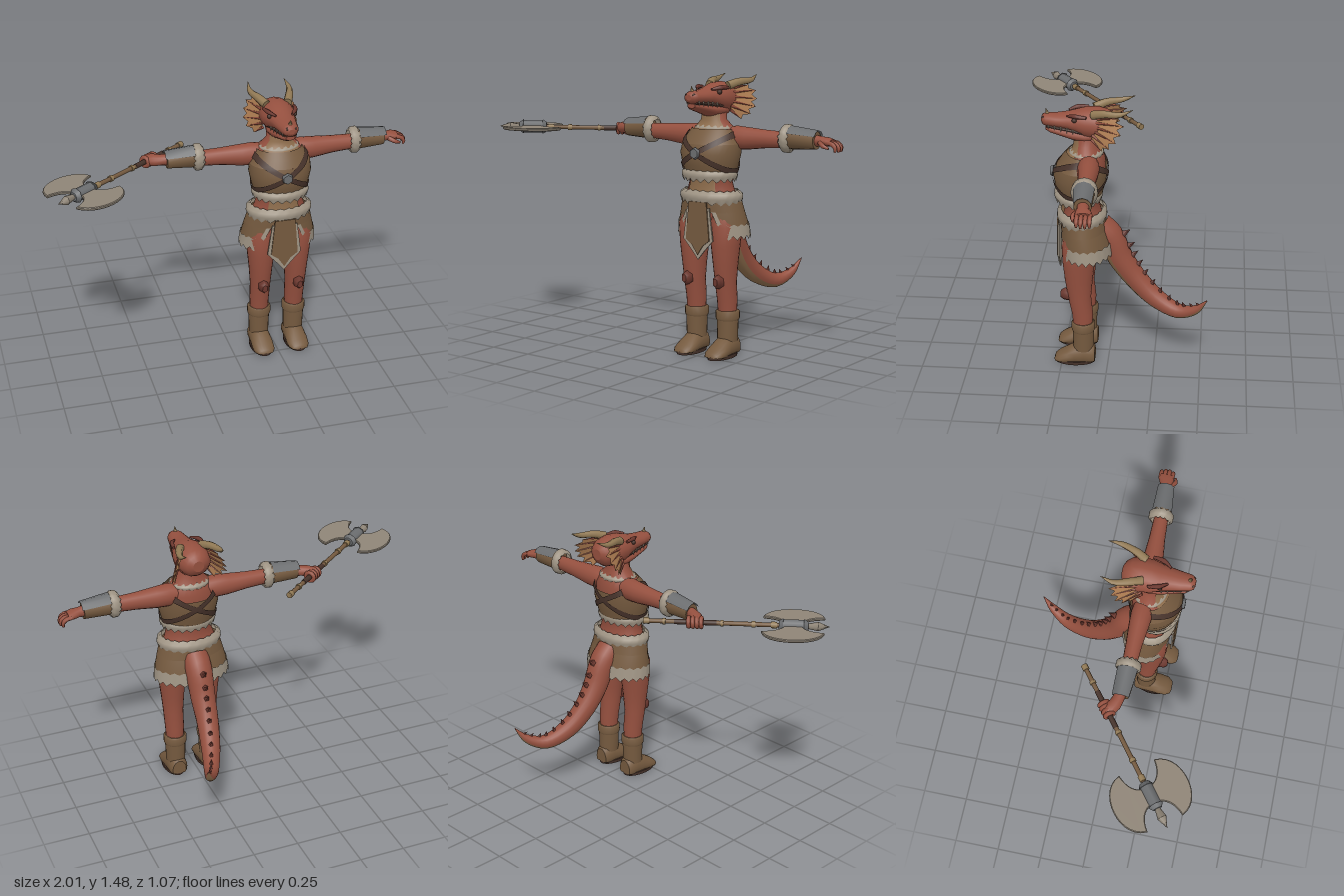
import * as THREE from 'three';

const V = (x, y, z) => new THREE.Vector3(x, y, z);
const X = V(1, 0, 0), Y = V(0, 1, 0), Z = V(0, 0, 1), TAU = Math.PI * 2;
const mat = (name, color, side = THREE.FrontSide) => {
  const m = new THREE.MeshStandardMaterial({ color, side });
  m.name = name;
  return m;
};

export function createModel() {
  const D = THREE.DoubleSide;
  const skin = mat('redScales', 0x95503f), darkSkin = mat('darkRedScales', 0x6c382f);
  const leather = mat('brownLeather', 0x755a3f, D), fur = mat('paleFur', 0x9f9484, D);
  const strap = mat('darkLeather', 0x46322a, D), belly = mat('tanBelly', 0x8e6d4c, D);
  const horn = mat('horn', 0x927a55), web = mat('frillMembrane', 0xae7d52, D);
  const metal = mat('greyMetal', 0x6c6e70, D), blade = mat('axeSteel', 0x8f8577, D);

  const root = new THREE.Group();
  root.name = 'lizardWarrior';
  const body = new THREE.Group();
  body.name = 'body';
  body.position.x = 0.267;
  root.add(body);

  const add = (parent, name, geo, m) => {
    const mesh = new THREE.Mesh(geo, m);
    mesh.name = name;
    parent.add(mesh);
    return mesh;
  };
  // Surface through rows of points, with optional end caps
  function grid(rows, closed, caps) {
    const p = [], idx = [], n = rows[0].length;
    rows.forEach(r => r.forEach(q => p.push(q.x, q.y, q.z)));
    for (let i = 0; i < rows.length - 1; i++) for (let j = 0; j < (closed ? n : n - 1); j++) {
      const k = (j + 1) % n, a = i * n + j, b = i * n + k;
      idx.push(a, b, b + n, a, b + n, a + n);
    }
    if (caps) [rows[0], rows[rows.length - 1]].forEach((r, e) => {
      const c = r.reduce((s, q) => s.add(q), V(0, 0, 0)).divideScalar(n), o = p.length / 3;
      p.push(c.x, c.y, c.z);
      r.forEach(q => p.push(q.x, q.y, q.z));
      for (let j = 0; j < n; j++) {
        const a = o + 1 + j, b = o + 1 + (j + 1) % n;
        idx.push(o, e ? a : b, e ? b : a);
      }
    });
    const g = new THREE.BufferGeometry();
    g.setAttribute('position', new THREE.Float32BufferAttribute(p, 3));
    g.setIndex(idx);
    g.computeVertexNormals();
    return g;
  }
  function ringPoints(c, t, v, ru, rv, a0, a1, n, jag = 0) {
    const u = t.clone().cross(v), full = a1 - a0 > TAU - 1e-4, out = [];
    for (let j = 0; j < (full ? n : n + 1); j++) {
      const a = a0 + (a1 - a0) * j / n;
      out.push(c.clone().addScaledVector(u, ru * Math.sin(a)).addScaledVector(v, rv * Math.cos(a))
        .addScaledVector(t, j % 2 ? jag : 0));
    }
    return out;
  }
  // Rings: [x, y, z, side radius, front radius, start angle, end angle, jag]
  function loft(rings, { t = Y, v = Z, n = 20, caps = true } = {}) {
    const rows = rings.map(([x, y, z, ru, rv, a0 = 0, a1 = TAU, jag = 0]) =>
      ringPoints(V(x, y, z), t, v, ru, rv, a0, a1, n, jag));
    const closed = rings[0][6] === undefined;
    return grid(rows, closed || rings[0][6] - rings[0][5] > TAU - 1e-4, closed && caps);
  }
  // Tapered sweep along a smooth path
  const lerpList = (r, s) => {
    const f = s * (r.length - 1), i = Math.min(Math.floor(f), r.length - 2);
    return r[i] + (r[i + 1] - r[i]) * (f - i);
  };
  const frame = (curve, s, up) => {
    const c = curve.getPoint(s), t = curve.getTangent(s);
    return { c, t, v: up.clone().addScaledVector(t, -up.dot(t)).normalize() };
  };
  const path = pts => new THREE.CatmullRomCurve3(pts.map(p => V(...p)));
  function sweep(curve, radii, { n = 10, steps = 10, up = Y, a0 = 0, a1 = TAU } = {}) {
    const rows = [];
    for (let i = 0; i <= steps; i++) {
      const { c, t, v } = frame(curve, i / steps, up), r = lerpList(radii, i / steps);
      rows.push(ringPoints(c, t, v, r, r, a0, a1, n));
    }
    const full = a1 - a0 > TAU - 1e-4;
    return grid(rows, full, full);
  }
  function spike(parent, name, from, to, r, m, sides = 6) {
    const d = to.clone().sub(from), c = add(parent, name, new THREE.ConeGeometry(r, d.length(), sides), m);
    c.position.copy(from).addScaledVector(d, 0.5);
    c.quaternion.setFromUnitVectors(Y, d.normalize());
  }
  const pair = (name, fn) => [1, -1].forEach(s => {
    const g = new THREE.Group();
    g.name = (s > 0 ? 'left' : 'right') + name;
    g.scale.x = s;
    body.add(g);
    fn(g, s);
  });

  // Torso and clothing
  add(body, 'torso', loft([[0, .68, .13, .13, .09], [0, .8, .135, .165, .108], [0, .88, .145, .135, .1],
    [0, .93, .147, .122, .09], [0, .98, .15, .14, .11], [0, 1.08, .15, .16, .13], [0, 1.16, .13, .145, .112],
    [0, 1.21, .115, .11, .078], [0, 1.25, .118, .068, .062], [0, 1.31, .115, .062, .062]], { n: 28 }), skin);
  add(body, 'bellyPlate', loft([[0, .86, .145, .148, .111, -.65, .65], [0, .93, .147, .127, .095, -.65, .65],
    [0, .97, .15, .14, .108, -.65, .65]]), belly);
  add(body, 'throatPlate', loft([[0, 1.19, .125, .125, .1, -1, 1], [0, 1.22, .116, .1, .078, -1, 1],
    [0, 1.25, .118, .072, .066, -1, 1], [0, 1.3, .115, .067, .068, -1, 1]]), belly);
  const vest = [[.96, .15, .14, .112], [1.02, .152, .156, .13], [1.08, .15, .169, .141],
    [1.13, .142, .165, .132], [1.17, .132, .145, .116], [1.205, .12, .125, .098]];
  add(body, 'vest', loft(vest.slice(0, 4).map(([y, z, a, b]) => [0, y, z, a, b, 0, TAU]), { n: 32 }), leather);
  add(body, 'vestFront', loft(vest.slice(3).map(([y, z, a, b], i) =>
    [0, y, z, a, b, -1.7 + i * .15, 1.7 - i * .15]), { n: 24 }), leather);
  const onVest = (a, y, off) => {
    let i = 0;
    while (i < vest.length - 2 && y > vest[i + 1][0]) i++;
    const f = (y - vest[i][0]) / (vest[i + 1][0] - vest[i][0]);
    const [z, rx, rz] = [1, 2, 3].map(k => vest[i][k] + (vest[i + 1][k] - vest[i][k]) * f);
    return V((rx + off) * Math.sin(a), y, z + (rz + off) * Math.cos(a));
  };
  [1, -1].forEach(s => {
    const rows = [-.016, 0, .016].map(w => Array.from({ length: 49 }, (_, j) => {
      const a = j / 48 * TAU;
      return onVest(a, 1.085 + w + s * .095 * Math.sin(a), .007);
    }));
    add(body, 'crossStrap', grid(rows, false), strap);
  });
  const disc = add(body, 'medallion', new THREE.CylinderGeometry(.026, .032, .016, 6), metal);
  disc.rotation.x = Math.PI / 2;
  disc.position.set(0, 1.085, .298);

  // Fur bands with ragged lower edges
  const furBand = (name, y, z, rx, rz, h, n = 40) => add(body, name, loft([
    [0, y - h * .5, z, rx * .99, rz * .99, 0, TAU, -.018], [0, y - h * .2, z, rx + .008, rz + .008, 0, TAU],
    [0, y + h * .25, z, rx + .006, rz + .006, 0, TAU], [0, y + h * .5, z, rx * .88, rz * .88, 0, TAU, .008]], { n }), fur);
  furBand('vestFur', .972, .16, .148, .12, .045);
  furBand('beltFur', .856, .143, .172, .124, .052);
  furBand('collarFur', 1.206, .118, .103, .083, .025, 32);

  // Skirt, open at the front
  const skirt = [[.78, .132, .186, .122, .42], [.72, .124, .2, .134, .55], [.665, .118, .208, .138, .72]];
  add(body, 'waistband', loft([[0, .775, .132, .187, .123, 0, TAU], [0, .85, .14, .168, .117, 0, TAU]], { n: 32 }), leather);
  add(body, 'skirt', loft([...skirt].reverse().map(([y, z, a, b, g]) => [0, y, z, a, b, g, TAU - g]), { n: 36 }), leather);
  add(body, 'skirtFur', loft([[0, .655, .117, .213, .143, .7, TAU - .7, -.022],
    [0, .705, .122, .206, .141, .62, TAU - .62, .012]], { n: 36 }), fur);
  pair('SkirtEdge', g => add(g, 'skirtEdgeFur', loft([...skirt].reverse().map(([y, z, a, b, s]) =>
    [0, y, z, a + .005, b + .005, s - .03, s + .1]), { n: 3 }), fur));
  const flap = (name, w, top, tip, z, m) => {
    const s = new THREE.Shape();
    [[-w * .75, top], [-w, .63], [-w * .45, tip + .05], [0, tip], [w * .45, tip + .05], [w, .63], [w * .75, top]]
      .forEach(([x, y], i) => i ? s.lineTo(x, y) : s.moveTo(x, y));
    add(body, name, new THREE.ExtrudeGeometry(s, { depth: .008, bevelEnabled: false }), m).position.z = z;
  };
  flap('frontFlapFur', .093, .8, .525, .258, fur);
  flap('frontFlap', .074, .83, .55, .264, leather);

  // Legs and boots
  pair('Leg', g => {
    add(g, 'leg', loft([[.1, .1, .13, .045, .045], [.1, .2, .135, .048, .05], [.1, .3, .137, .053, .057],
      [.1, .4, .152, .056, .062], [.1, .5, .155, .064, .074], [.1, .6, .155, .075, .085],
      [.1, .7, .15, .082, .094], [.09, .77, .14, .07, .09]]), skin);
    add(g, 'kneePad', loft([[.1, .41, .2, .03, .04], [.1, .41, .235, .027, .036], [.1, .41, .252, .016, .022]],
      { t: Z, v: Y, n: 6 }), darkSkin);
    add(g, 'bootShaft', loft([[.1, .08, .133, .054, .056], [.1, .21, .133, .058, .058]]), leather);
    add(g, 'bootCuff', loft([[.1, .195, .133, .061, .06], [.1, .205, .133, .065, .064],
      [.1, .24, .133, .065, .064], [.1, .247, .133, .054, .055]]), leather);
    const foot = loft([[.07, .095, .04], [.085, .11, .052], [.13, .122, .056], [.18, .105, .058], [.22, .08, .061],
      [.26, .055, .058], [.285, .035, .042], [.291, .02, .02]].map(([z, h, w]) => [.1, h * .4, z, w, h * .6]), { t: Z, v: Y });
    const p = foot.attributes.position;
    for (let i = 0; i < p.count; i++) p.setY(i, Math.max(p.getY(i), .014));
    foot.computeVertexNormals();
    add(g, 'bootFoot', foot, leather);
    add(g, 'bootSole', loft([[.1, 0, .181, .06, .109], [.1, .02, .181, .062, .111]]), strap);
  });

  // Arms with fur cuffs and bracers
  const along = { t: X, v: Y, n: 16 };
  pair('Arm', (g, s) => {
    add(g, 'arm', loft([[.06, 1.16, .1, .05, .05], [.13, 1.16, .096, .058, .062], [.2, 1.159, .093, .053, .058],
      [.31, 1.162, .09, .043, .047], [.43, 1.164, .088, .038, .041]], along), skin);
    add(g, 'cuffFur', loft([[.408, 1.172, .087, .05, .052, 0, TAU, -.008], [.418, 1.172, .087, .066, .072, 0, TAU],
      [.445, 1.172, .087, .067, .074, 0, TAU], [.455, 1.172, .087, .05, .055, 0, TAU, .008]], { ...along, n: 24 }), fur);
    add(g, 'bracer', loft([[.445, 1.176, .087, .053, .058], [.6, 1.171, .08, .044, .046]], { ...along, n: 12 }), leather);
    add(g, 'bracerPlate', loft([[.455, 1.176, .087, .058, .064, -1.15, 1.15], [.61, 1.172, .08, .048, .051, -1.15, 1.15]],
      { ...along, n: 4 }), metal);
    if (s > 0) {
      add(g, 'hand', loft([[.59, 1.17, .078, .03, .03], [.625, 1.168, .076, .03, .026],
        [.66, 1.167, .07, .042, .023], [.685, 1.163, .068, .04, .018]], along), skin);
      for (let i = 0; i < 4; i++) {
        const z = .037 + i * .021, e = i === 0 || i === 3 ? -.008 : 0;
        add(g, 'finger', sweep(path([[.67, 1.164, z], [.705 + e, 1.16, z], [.725 + e, 1.142, z], [.724 + e, 1.12, z]]),
          [.012, .012, .011, .006], { n: 7, steps: 7, up: Z }), skin);
      }
      add(g, 'thumb', sweep(path([[.63, 1.163, .1], [.66, 1.15, .122], [.69, 1.138, .118]]), [.014, .012, .006],
        { n: 7, steps: 6 }), skin);
    } else add(g, 'gripHand', loft([[.59, 1.17, .078, .03, .03], [.63, 1.168, .065, .034, .028],
      [.665, 1.164, .048, .042, .032], [.7, 1.162, .034, .032, .026], [.712, 1.16, .03, .015, .015]], along), skin);
  });

  // Head, jaw and face
  const ahead = { t: Z, v: Y, n: 18 };
  add(body, 'skull', loft([[-.035, 1.36, .03, .03], [-.02, 1.36, .06, .055], [.01, 1.36, .083, .075], [.06, 1.363, .092, .084],
    [.12, 1.365, .088, .078], [.165, 1.37, .075, .06], [.21, 1.373, .064, .045], [.27, 1.373, .054, .036],
    [.32, 1.375, .045, .034], [.34, 1.375, .034, .027], [.347, 1.375, .015, .014]]
    .map(([z, y, a, b]) => [0, y, z, a, b]), ahead), skin);
  add(body, 'jaw', loft([[.06, 1.305, .06, .04], [.12, 1.3, .07, .038], [.18, 1.304, .062, .034], [.24, 1.315, .052, .026],
    [.3, 1.327, .042, .02], [.325, 1.332, .025, .012]].map(([z, y, a, b]) => [0, y, z, a, b]), ahead), skin);
  add(body, 'mouth', loft([[.12, 1.325, .072, .02], [.2, 1.335, .06, .014], [.32, 1.346, .036, .01]]
    .map(([z, y, a, b]) => [0, y, z, a, b]), ahead), strap);
  spike(body, 'noseHorn', V(0, 1.398, .315), V(0, 1.435, .325), .014, horn);
  const tips = [[.1, 1.425, -.05], [.125, 1.395, -.085], [.142, 1.352, -.07], [.152, 1.312, -.045], [.142, 1.275, -.01], [.11, 1.25, .03]]
    .map(p => V(...p));
  pair('Face', g => {
    add(g, 'horn', sweep(path([[.058, 1.425, .08], [.085, 1.443, .02], [.108, 1.45, -.06], [.1, 1.476, -.128]]),
      [.024, .021, .015, .001], { n: 8 }), horn);
    add(g, 'brow', sweep(path([[.045, 1.412, .21], [.073, 1.42, .165], [.083, 1.418, .11]]), [.006, .013, .008], { n: 6 }), darkSkin);
    const eye = add(g, 'eye', new THREE.SphereGeometry(.013, 10, 8), strap);
    eye.position.set(.069, 1.398, .172);
    const nostril = add(g, 'nostril', new THREE.SphereGeometry(.008, 8, 6), strap);
    nostril.position.set(.022, 1.39, .336);
    for (let i = 0; i < 5; i++) {
      const z = .18 + i * .032, x = .061 - i * .006, y = 1.335 + i * .004;
      spike(g, 'tooth', V(x, y + .008, z), V(x, y - .02, z), .006, fur, 4);
    }
    // Frill fan with spines
    const base = tips.map((_, i) => V(.078, 1.415 - i * .023, .055 + i * .006)), inner = [], outer = [];
    tips.forEach((q, i) => {
      inner.push(base[i]);
      outer.push(q);
      if (i === tips.length - 1) return;
      const b = base[i].clone().lerp(base[i + 1], .5);
      inner.push(b);
      outer.push(b.clone().lerp(q.clone().lerp(tips[i + 1], .5), .8));
    });
    add(g, 'frill', grid([inner, outer], false), web);
    tips.forEach((q, i) => spike(g, 'frillSpine', base[i], q, .009, skin, 5));
  });

  // Tail with pale underside and back spikes
  const tail = path([[0, .78, .06], [0, .72, 0], [0, .59, -.06], [.005, .475, -.14], [.03, .37, -.25],
    [.075, .318, -.375], [.12, .355, -.47], [.15, .43, -.53]]);
  const radii = [.075, .074, .068, .06, .052, .04, .024, .002];
  const tailRadius = s => lerpList(radii, s);
  add(body, 'tail', sweep(tail, radii, { n: 14, steps: 28, a0: -2.1, a1: 2.1 }), skin);
  add(body, 'tailUnderside', sweep(tail, radii, { n: 8, steps: 28, a0: 2.1, a1: TAU - 2.1 }), belly);
  for (let i = 0; i < 12; i++) {
    const s = .17 + i * .067, { c, t, v } = frame(tail, s, Y), r = tailRadius(s), h = .055 - i * .0022;
    const from = c.clone().addScaledVector(v, r - .012);
    spike(body, 'tailSpike', from, from.clone().addScaledVector(v, h).addScaledVector(t, -h * .15), .023 - i * .001, darkSkin, 5);
  }

  // Double-bladed axe, laid along its own x axis
  const axe = new THREE.Group();
  axe.name = 'axe';
  axe.position.set(-.2, 1.15, -.14);
  axe.rotation.set(0, Math.atan2(-.611, -.792), .022);
  root.add(axe);
  const rod = (name, x0, x1, r0, r1, m, n = 10) => {
    const c = add(axe, name, new THREE.CylinderGeometry(r1, r0, x1 - x0, n), m);
    c.rotation.z = -Math.PI / 2;
    c.position.x = (x0 + x1) / 2;
  };
  rod('shaft', 0, .78, .012, .012, leather);
  [[0, .03], [.1, .115], [.4, .415], [.56, .58], [.66, .69]].forEach(([a, b]) => rod('shaftCollar', a, b, .017, .017, horn));
  rod('grip', .16, .38, .014, .014, strap);
  rod('axeSocket', .715, .835, .034, .034, metal, 8);
  rod('axeSocketRim', .7, .722, .026, .04, metal, 8);
  rod('axeSocketRim', .828, .85, .04, .024, metal, 8);
  rod('topSpike', .85, .9, .014, .024, blade, 6);
  rod('topSpikeTip', .9, .957, .024, .001, blade, 6);
  const shape = new THREE.Shape();
  shape.moveTo(.04, .02);
  shape.quadraticCurveTo(.06, .09, .155, .1);
  shape.bezierCurveTo(.13, .235, -.13, .235, -.155, .1);
  shape.quadraticCurveTo(-.06, .09, -.04, .02);
  [1, -1].forEach(s => {
    const g = new THREE.ExtrudeGeometry(shape, { depth: .008, bevelThickness: .004, bevelSize: .004, bevelSegments: 1, curveSegments: 14 });
    g.translate(0, 0, -.004).rotateX(s * Math.PI / 2);
    add(axe, 'axeBlade', g, blade).position.x = .774;
  });
  for (let i = 0; i < 4; i++) {
    const f = add(axe, 'gripFinger', new THREE.TorusGeometry(.024, .012, 7, 14), skin);
    f.rotation.y = Math.PI / 2;
    f.position.x = .235 + i * .022;
  }
  return root;
}
